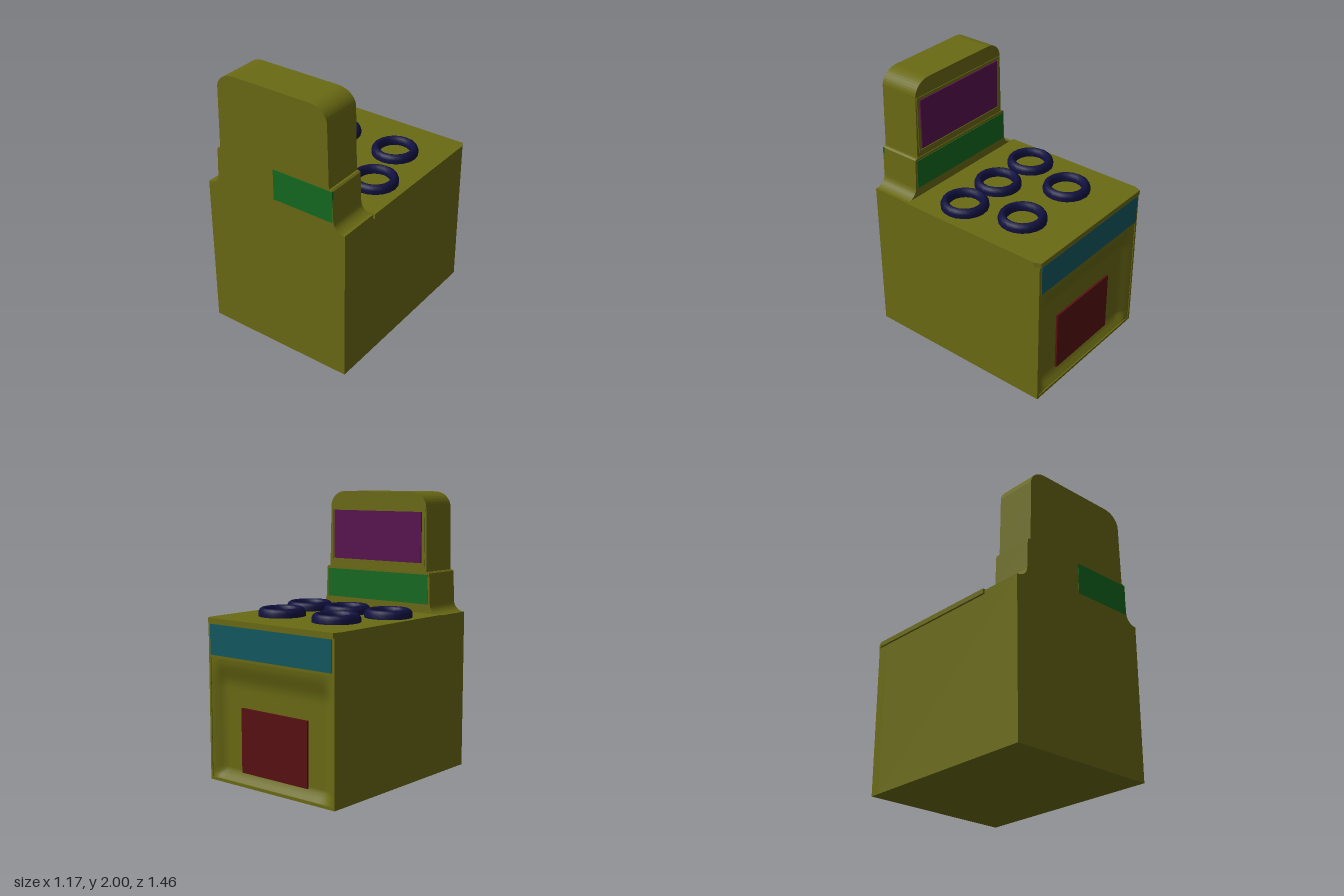
import * as THREE from 'three';

const mat = (color) => new THREE.MeshStandardMaterial({ color, side: THREE.DoubleSide });

export function createModel() {
  const model = new THREE.Group();
  const olive = mat(0x6a6a14), green = mat(0x146a20), navy = mat(0x10103f);
  const purple = mat(0x581050), red = mat(0x581012), teal = mat(0x12585f);

  const add = (name, geometry, material) => {
    const mesh = new THREE.Mesh(geometry, material);
    mesh.name = name;
    model.add(mesh);
    return mesh;
  };
  // Box given by its limits on each axis
  const box = (name, material, x0, x1, y0, y1, z0, z1) =>
    add(name, new THREE.BoxGeometry(x1 - x0, y1 - y0, z1 - z0)
      .translate((x0 + x1) / 2, (y0 + y1) / 2, (z0 + z1) / 2), material);
  // Outline in x and y, extruded between two depths
  const slice = (name, shape, z0, z1) =>
    add(name, new THREE.ExtrudeGeometry(shape, { depth: z1 - z0, bevelEnabled: false, curveSegments: 10 })
      .translate(0, 0, z0), olive);

  // Cabinet with thin rims around the recessed oven face
  box('cabinet', olive, -0.57, 0.57, 0, 1.14, -0.64, 0.73);
  for (const s of [-1, 1]) {
    box('sideRim', olive, s * 0.562 - 0.008, s * 0.562 + 0.008, 0, 1.14, -0.72, -0.64);
  }
  box('bottomRim', olive, -0.57, 0.57, 0, 0.02, -0.72, -0.64);
  box('controlHeader', olive, -0.57, 0.57, 0.87, 1.14, -0.72, -0.64);

  // Oven face, dished smoothly inward from its edges
  const face = new THREE.PlaneGeometry(1.11, 0.86, 36, 30).rotateY(Math.PI).translate(0, 0.445, 0);
  const p = face.attributes.position;
  for (let i = 0; i < p.count; i++) {
    const x = p.getX(i), y = p.getY(i);
    const inset = THREE.MathUtils.smoothstep(0.555 - Math.abs(x), 0, 0.1)
      * THREE.MathUtils.smoothstep(0.875 - y, 0, 0.2)
      * THREE.MathUtils.smoothstep(y - 0.015, 0, 0.06);
    p.setZ(i, -0.715 + 0.05 * inset);
  }
  face.computeVertexNormals();
  add('ovenFace', face, olive);
  box('ovenDoor', red, -0.3, 0.3, 0.085, 0.54, -0.68, -0.655);
  box('controlPanel', teal, -0.55, 0.55, 0.89, 1.105, -0.725, -0.71);

  // Cooktop slab with two clipped corners
  const top = new THREE.Shape([[-0.585, -0.42], [0.585, -0.42], [0.585, 0.68], [0.565, 0.73],
    [-0.565, 0.73], [-0.585, 0.68]].map(([x, y]) => new THREE.Vector2(x, y)));
  add('cooktop', new THREE.ExtrudeGeometry(top, { depth: 0.035, bevelEnabled: false })
    .rotateX(-Math.PI / 2).translate(0, 1.113, 0), olive);

  // Burner rings
  const ringProfile = [[0.11, 0], [0.108, 0.025], [0.116, 0.05], [0.13, 0.06], [0.142, 0.06],
    [0.157, 0.05], [0.167, 0.03], [0.167, 0]].map(([x, y]) => new THREE.Vector2(x, y));
  const ring = new THREE.LatheGeometry(ringProfile.reverse(), 20);
  for (const [x, z] of [[-0.25, -0.325], [0.245, -0.325], [-0.37, 0.09], [0, 0.09], [0.355, 0.09]]) {
    add('burner', ring, navy).position.set(x, 1.147, z);
  }

  // Lower tier of the upright back, flared onto the cabinet
  const tier = new THREE.Shape();
  tier.moveTo(-0.57, 1.135);
  tier.lineTo(0.57, 1.135);
  tier.quadraticCurveTo(0.49, 1.15, 0.48, 1.21);
  tier.lineTo(0.472, 1.43);
  tier.lineTo(0.46, 1.44);
  tier.lineTo(-0.46, 1.44);
  tier.lineTo(-0.472, 1.43);
  tier.lineTo(-0.48, 1.21);
  tier.quadraticCurveTo(-0.49, 1.15, -0.57, 1.135);
  slice('backTier', tier, 0.425, 0.73);

  // Tall hood with rounded shoulders
  const hood = new THREE.Shape();
  hood.moveTo(-0.447, 1.43);
  hood.lineTo(0.447, 1.43);
  hood.lineTo(0.436, 1.9);
  hood.bezierCurveTo(0.43, 1.95, 0.38, 2, 0.3, 2);
  hood.lineTo(-0.3, 2);
  hood.bezierCurveTo(-0.38, 2, -0.43, 1.95, -0.436, 1.9);
  slice('hood', hood, 0.43, 0.73);

  // Inset panels on the upright
  box('lowerPanel', green, -0.46, 0.46, 1.21, 1.42, 0.421, 0.43);
  box('rearPanel', green, 0, 0.474, 1.205, 1.432, 0.72, 0.732);
  box('screen', purple, -0.4, 0.4, 1.5, 1.86, 0.42, 0.435);

  // Raised frame around the screen
  for (const s of [-1, 1]) {
    box('screenFrameSide', olive, s * 0.42 - 0.008, s * 0.42 + 0.008, 1.475, 1.885, 0.425, 0.435);
    box('screenFrameBar', olive, -0.412, 0.412, 1.68 + s * 0.197 - 0.008, 1.68 + s * 0.197 + 0.008, 0.425, 0.435);
  }
  return model;
}
